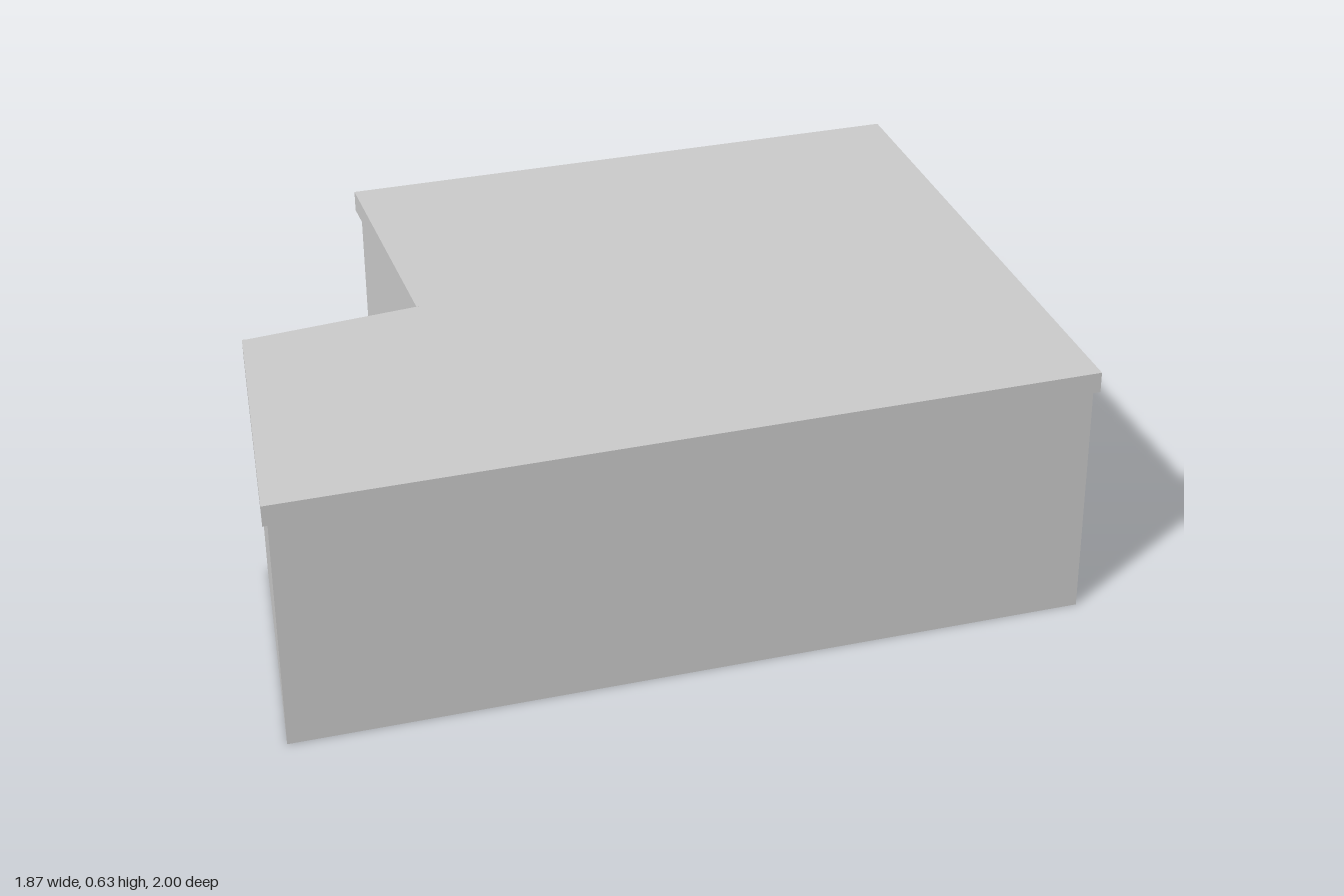
import * as THREE from 'three';

const H = 0.63;          // wall height
const BAND = 0.05;       // fascia height
const OUT = 0.011;       // fascia thickness

// Plan corners as (x, z), going round the building
const plan = [
  [0.915, 0.005], [0.185, -0.985], [-0.92, -0.3],
  [-0.595, 0.155], [-0.915, 0.4], [-0.625, 0.985],
].map(([x, z]) => new THREE.Vector2(x, z));
const inner = new THREE.Vector2(-0.197, 0.712);  // where the dividing wall meets the front wall
const BARE = 3;          // edge in the notch without fascia

const material = new THREE.MeshStandardMaterial({ color: 0xcccccc, side: THREE.DoubleSide });

const outward = (a, b) => new THREE.Vector2(a.y - b.y, b.x - a.x).normalize();
const planShape = (pts) => new THREE.Shape(pts.map((p) => new THREE.Vector2(p.x, -p.y)));

function addMesh(group, name, geometry) {
  const mesh = new THREE.Mesh(geometry, material);
  mesh.name = name;
  group.add(mesh);
  return mesh;
}

function addWall(group, name, a, b) {
  const n = outward(a, b);
  const wall = addMesh(group, name, new THREE.PlaneGeometry(a.distanceTo(b), H));
  wall.position.set((a.x + b.x) / 2, H / 2, (a.y + b.y) / 2);
  wall.rotation.y = Math.atan2(n.x, n.y);
}

function addSlab(group, name, pts, y) {
  addMesh(group, name, new THREE.ShapeGeometry(planShape(pts)).rotateX(-Math.PI / 2)).position.y = y;
}

export function createModel() {
  const model = new THREE.Group();
  model.name = 'building';
  const count = plan.length;
  const at = (i) => plan[(i + count) % count];
  const normal = (i) => outward(at(i), at(i + 1));

  // Outer walls and the wall between the main hall and the wing
  plan.forEach((p, i) => addWall(model, 'outerWall', p, at(i + 1)));
  addWall(model, 'dividingWall', plan[3], inner);

  // Flat roof, and the floor under the wing
  addSlab(model, 'roof', plan, H);
  addSlab(model, 'wingFloor', [plan[3], plan[4], plan[5], inner], 0);

  // Fascia boards, mitred where two of them meet
  const corner = (i, edge) => {
    const before = (i - 1 + count) % count, after = i % count;
    const n = normal(edge);
    if (before === BARE || after === BARE) return at(i).clone().addScaledVector(n, OUT);
    const a = normal(before), b = normal(after);
    return at(i).clone().addScaledVector(a.clone().add(b), OUT / (1 + a.dot(b)));
  };
  for (let i = 0; i < count; i++) {
    if (i === BARE) continue;
    const shape = planShape([at(i), at(i + 1), corner(i + 1, i), corner(i, i)]);
    const board = new THREE.ExtrudeGeometry(shape, { depth: BAND, bevelEnabled: false });
    addMesh(model, 'fascia', board.rotateX(-Math.PI / 2)).position.y = H - BAND;
  }
  return model;
}
